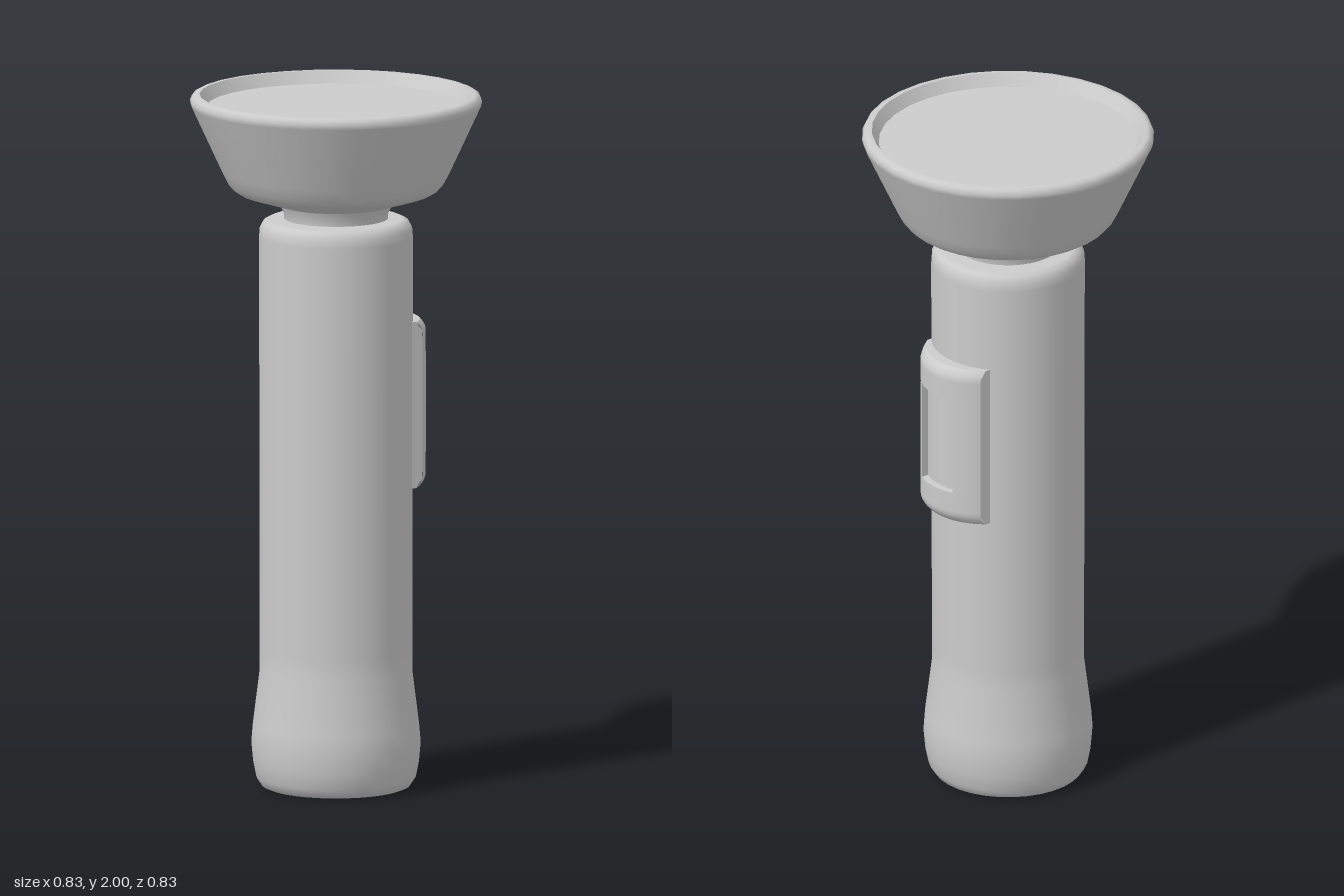
import * as THREE from 'three';
import { mergeGeometries } from 'three/addons/utils/BufferGeometryUtils.js';
import { ParametricGeometry } from 'three/addons/geometries/ParametricGeometry.js';

const material = new THREE.MeshStandardMaterial({ color: 0xcccccc });

function part(name, geometry) {
  const mesh = new THREE.Mesh(geometry, material);
  mesh.name = name;
  return mesh;
}

// Smooth 32-sided turned part from [radius, height] pairs, listed from the bottom up
const turned = (name, profile) =>
  part(name, new THREE.LatheGeometry(profile.map(([r, y]) => new THREE.Vector2(r, y)), 32));

// Switch plate: curved around the barrel, rounded at both ends, with a sunken window
function switchPlate() {
  const Y0 = 0.865, Y1 = 1.345, Z = 0.135;     // outer edge
  const y0 = 0.96, y1 = 1.25, z = 0.07;        // window edge
  const R = 0.173, BASE = 0.17, DEPTH = 0.022, ROUND = 0.035;

  const front = (y, w) => {
    const d = Math.max(0, 1 - Math.min(Y1 - y, y - Y0) / ROUND);
    return 0.27 - R + Math.sqrt(R * R - w * w) - 0.02 * d * d;
  };
  const floor = (y, w) => front(y, w) - DEPTH;
  const base = () => BASE;

  const face = (surface, ya, yb, za, zb) => new ParametricGeometry((u, v, target) => {
    const y = ya + (yb - ya) * u, w = za + (zb - za) * v;
    target.set(surface(y, w), y, w);
  }, 10, 10);

  // Walls follow a closed loop of [y, z] corners between two surfaces
  const walls = (low, high, loop) => loop.map(([ya, za], i) => {
    const [yb, zb] = loop[(i + 1) % loop.length];
    return new ParametricGeometry((u, v, target) => {
      const y = ya + (yb - ya) * u, w = za + (zb - za) * u;
      target.set(low(y, w) + (high(y, w) - low(y, w)) * v, y, w);
    }, 20, 1);
  });

  return part('switchPlate', mergeGeometries([
    face(front, y1, Y1, -Z, Z),
    face(front, Y0, y0, -Z, Z),
    face(front, y0, y1, -Z, -z),
    face(front, y0, y1, z, Z),
    face(floor, y0, y1, -z, z),
    ...walls(base, front, [[Y1, -Z], [Y1, Z], [Y0, Z], [Y0, -Z]]),
    ...walls(floor, front, [[y1, -z], [y0, -z], [y0, z], [y1, z]]),
  ]));
}

export function createModel() {
  const model = new THREE.Group();
  model.name = 'flashlight';

  // Handle with a flared, rounded butt
  model.add(turned('barrel', [
    [0, 0], [0.195, 0], [0.212, 0.007], [0.227, 0.03], [0.236, 0.075], [0.241, 0.13],
    [0.237, 0.18], [0.217, 0.34], [0.217, 0.4], [0.219, 1.59], [0.217, 1.615],
    [0.207, 1.634], [0.19, 1.642], [0, 1.645],
  ]));
  model.add(turned('neck', [[0.148, 1.63], [0.148, 1.655], [0.16, 1.682]]));

  // Flared head with a rolled rim
  model.add(turned('head', [
    [0.15, 1.668], [0.16, 1.682], [0.275, 1.717], [0.293, 1.728], [0.308, 1.745],
    [0.325, 1.778], [0.413, 1.968], [0.416, 1.982], [0.41, 1.995], [0.4, 2], [0.388, 2],
  ]));
  model.add(turned('rimInside', [[0.388, 2], [0.368, 1.965]]));
  model.add(turned('lens', [[0.368, 1.965], [0, 1.965]]));

  model.add(switchPlate());
  return model;
}
